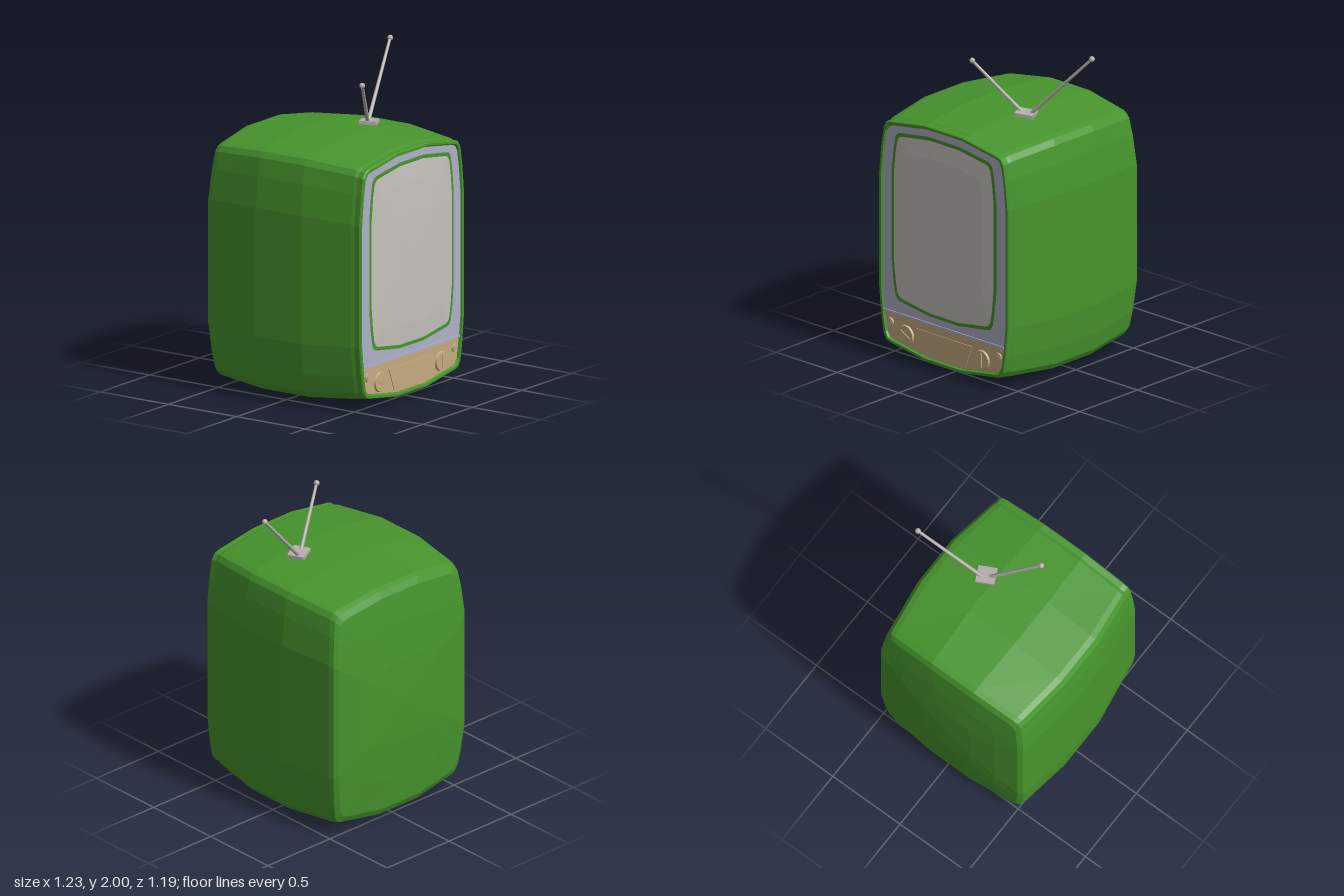
import * as THREE from 'three';

const mat = (name, color, side = THREE.FrontSide) => {
  const m = new THREE.MeshStandardMaterial({ color, side });
  m.name = name;
  return m;
};

// One quarter of the bulging rounded-rectangle outline, mirrored to a full loop
const quarter = [[1, 0.5], [0.965, 0.74], [0.93, 0.88], [0.89, 0.925], [0.83, 0.94], [0.29, 1]];
const flip = (pts, sx, sy) => pts.map(([u, v]) => [u * sx, v * sy]);
const back = [...quarter].reverse();
const outline = [...quarter, ...flip(back, -1, 1), ...flip(quarter, -1, -1), ...flip(back, 1, -1)];

// Skin of flat facets over rings of points, ordered from the front to the back
function loft(rings) {
  const n = rings[0].length;
  const index = [];
  for (let i = 0; i < rings.length - 1; i++) {
    for (let j = 0; j < n; j++) {
      const k = (j + 1) % n;
      const a = i * n + j, b = i * n + k, c = a + n, d = b + n;
      index.push(a, c, b, b, c, d);
    }
  }
  const g = new THREE.BufferGeometry();
  g.setAttribute('position', new THREE.Float32BufferAttribute(rings.flat(2), 3));
  g.setIndex(index);
  const flat = g.toNonIndexed();
  flat.computeVertexNormals();
  return flat;
}

const CX = -0.03, CY = 0.785, HW = 0.585, HH = 0.785;
const ring = (su, sv, z) => outline.map(([u, v]) =>
  [CX + u * su * HW, CY + v * sv * HH, typeof z === 'function' ? z(u * su, v * sv) : z]);

export function createModel() {
  const model = new THREE.Group();
  const green = mat('cabinet green', 0x47952d);
  const lavender = mat('bezel lavender', 0xb0b0c8);
  const grey = mat('screen grey', 0xc6c2bc);
  const tan = mat('panel tan', 0xc6ac7f);
  const metal = mat('antenna metal', 0xb4afac);

  const add = (name, geometry, material, x = 0, y = 0, z = 0, parent = model) => {
    const mesh = new THREE.Mesh(geometry, material);
    mesh.name = name;
    mesh.position.set(x, y, z);
    parent.add(mesh);
    return mesh;
  };

  // Cabinet: recessed front, rim, bulging sides and domed back
  const dome = (offset) => (u, v) => -0.595 + 0.045 * u * u + 0.06 * v * v + offset;
  add('cabinet', loft([
    ring(0, 0, 0.568), ring(0.855, 0.92, 0.568), ring(0.865, 0.928, 0.583),
    ring(0.89, 0.945, 0.583), ring(0.9, 0.952, 0.575), ring(0.9, 0.952, 0.54), ring(0.91, 0.962, 0.52),
    ring(1, 1, 0.19), ring(1, 1, -0.14),
    ring(0.92, 0.965, dome(0.045)), ring(0.905, 0.95, dome(0.015)), ring(0.86, 0.9, dome(0)),
    ring(0.6, 0.65, dome(0)), ring(0.3, 0.35, dome(0)), ring(0, 0, dome(0)),
  ]), green);

  // Front plates following the cabinet opening; the bezel stops above the controls
  const plate = (su, sv, minY) => new THREE.ShapeGeometry(new THREE.Shape(
    ring(su, sv, 0).map(([x, y]) => new THREE.Vector2(x, Math.max(y, minY)))));
  add('controlPanel', plate(0.852, 0.917, 0), tan, 0, 0, 0.571);
  add('bezel', plate(0.852, 0.917, 0.275), lavender, 0, 0, 0.574);
  add('bezelStrip', new THREE.BoxGeometry(0.97, 0.014, 0.008), lavender, CX, 0.281, 0.576);

  // Screen: green surround and a shallow bulging tube face
  const disc = (s, w, h, z) => outline.map(([u, v]) => [CX + u * s * w, 0.897 + v * s * h, z]);
  add('screenSurround', loft([disc(0, 0.425, 0.568, 0.577), disc(1, 0.425, 0.568, 0.577)]), green);
  add('screen', loft([
    disc(0, 0.405, 0.547, 0.592), disc(0.45, 0.405, 0.547, 0.591),
    disc(0.8, 0.405, 0.547, 0.586), disc(1, 0.405, 0.547, 0.579),
  ]), grey);

  // Control knobs with grip bars, and small buttons outside them
  for (const [x, turn] of [[-0.34, 1.05], [0.275, 0]]) {
    const knob = new THREE.Group();
    knob.name = 'knob';
    knob.position.set(x, 0.162, 0.577);
    knob.rotation.z = turn;
    model.add(knob);
    add('knobDial', new THREE.CylinderGeometry(0.058, 0.062, 0.012, 24).rotateX(Math.PI / 2), tan, 0, 0, 0, knob);
    add('knobGrip', new THREE.BoxGeometry(0.016, 0.085, 0.008), tan, 0, 0, 0.008, knob);
  }
  for (const x of [-0.468, 0.408]) {
    add('button', new THREE.CylinderGeometry(0.024, 0.026, 0.008, 16).rotateX(Math.PI / 2), tan, x, 0.215, 0.575);
    add('buttonCap', new THREE.CylinderGeometry(0.014, 0.014, 0.006, 12).rotateX(Math.PI / 2), metal, x, 0.215, 0.579);
  }

  // Tapered cover between the knobs
  const cover = new THREE.Shape([[-0.2, 0.08], [0.14, 0.08], [0.195, 0.225], [-0.255, 0.225]]
    .map(([x, y]) => new THREE.Vector2(x, y)));
  add('centreCover', new THREE.ExtrudeGeometry(cover, { depth: 0.005, bevelEnabled: false }), tan, 0, 0, 0.571);

  // Antenna: tilted base plate and two rods with ball tips
  const antenna = new THREE.Group();
  antenna.name = 'antenna';
  model.add(antenna);
  const base = add('antennaBase', new THREE.BoxGeometry(0.115, 0.022, 0.105), metal, 0.193, 1.574, 0.104, antenna);
  base.rotation.set(0, 0.45, -0.08);
  const rods = [
    [[0.215, 1.575, 0.084], [0.597, 1.982, -0.036]],
    [[0.172, 1.575, 0.11], [-0.095, 1.877, 0.262]],
  ];
  for (const [from, to] of rods) {
    const a = new THREE.Vector3(...from), b = new THREE.Vector3(...to);
    const dir = b.clone().sub(a);
    const mid = a.clone().add(b).multiplyScalar(0.5);
    const rod = add('antennaRod', new THREE.CylinderGeometry(0.009, 0.012, dir.length(), 8), metal, ...mid, antenna);
    rod.quaternion.setFromUnitVectors(new THREE.Vector3(0, 1, 0), dir.normalize());
    add('antennaTip', new THREE.SphereGeometry(0.018, 10, 8), metal, ...b, antenna);
  }
  return model;
}
